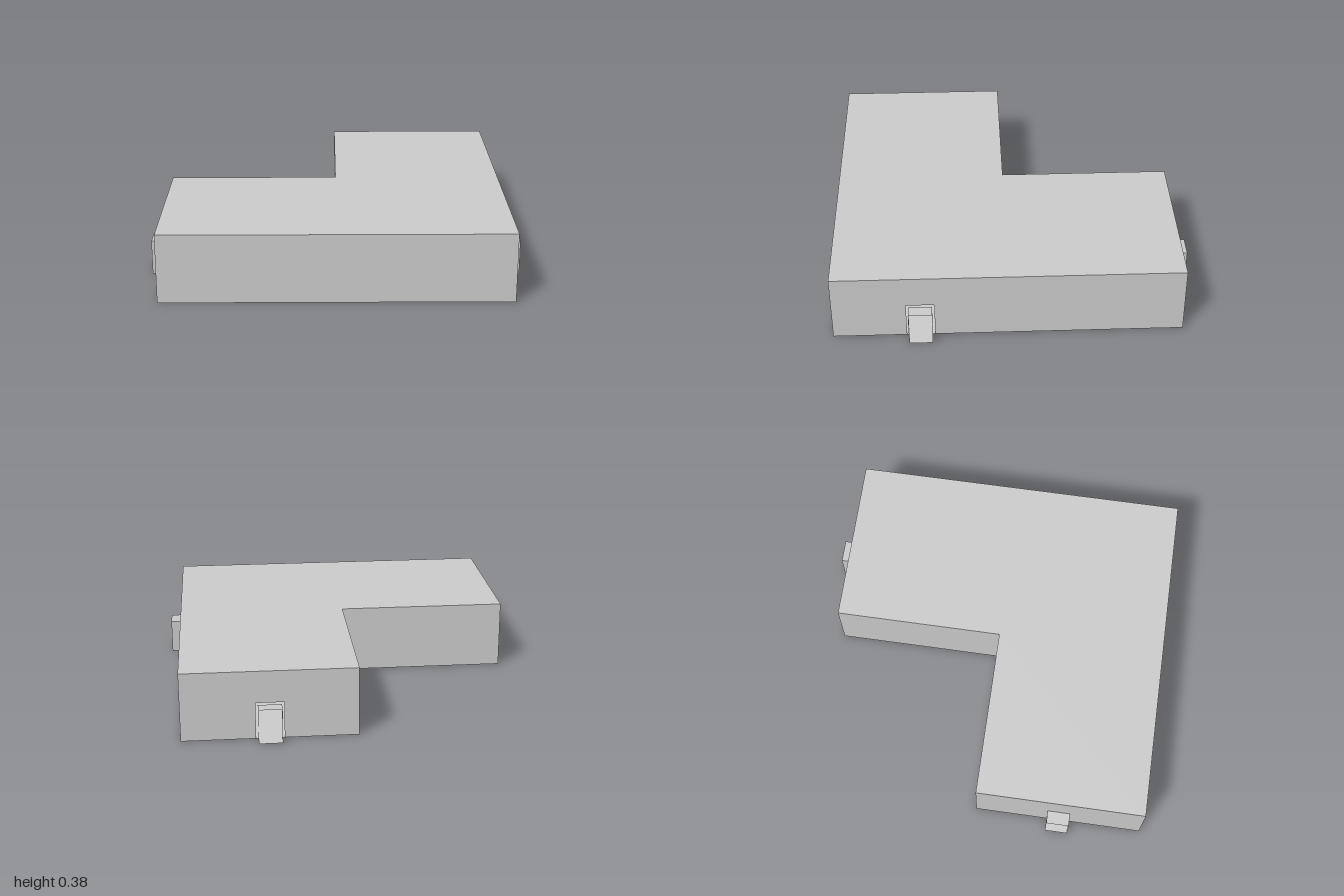
import * as THREE from 'three';

const H = 0.375;               // wall height
const OUT = 0.93;              // half width of the footprint
const BACK = -0.897, MID = 0.034, FRONT = 0.965;
const DOOR_W = 0.125, DOOR_H = 0.188, DEPTH = 0.07;

export function createModel() {
  const group = new THREE.Group();
  const material = new THREE.MeshStandardMaterial({ color: 0xcccccc, side: THREE.DoubleSide, flatShading: true });

  const add = (name, geometry, parent = group) => {
    const mesh = new THREE.Mesh(geometry, material);
    mesh.name = name;
    parent.add(mesh);
    return mesh;
  };

  // L-shaped outline as [x, z], running so that every wall faces outwards
  const outline = [[-OUT, FRONT], [OUT, FRONT], [OUT, BACK], [0, BACK], [0, MID], [-OUT, MID]];

  // Roof and floor
  const plan = new THREE.Shape(outline.map(([x, z]) => new THREE.Vector2(x, -z)));
  add('roof', new THREE.ShapeGeometry(plan).rotateX(-Math.PI / 2).translate(0, H, 0));
  const floorPlan = new THREE.Shape(outline.map(([x, z]) => new THREE.Vector2(x, z)));
  add('floor', new THREE.ShapeGeometry(floorPlan).rotateX(Math.PI / 2));

  // Open square tunnel in front of a doorway, running along +z from the wall
  const addPorch = (parent) => {
    const porch = new THREE.Group();
    porch.name = 'doorPorch';
    parent.add(porch);
    for (const s of [-1, 1]) {
      add('porchSide', new THREE.PlaneGeometry(DEPTH, DOOR_H).rotateY(s * Math.PI / 2)
        .translate(s * DOOR_W / 2, DOOR_H / 2, DEPTH / 2), porch);
      add('porchSlab', new THREE.PlaneGeometry(DOOR_W, DEPTH).rotateX(-s * Math.PI / 2)
        .translate(0, s > 0 ? DOOR_H : 0, DEPTH / 2), porch);
    }
    return porch;
  };

  // Doorway clearance around the porch, by wall index (walls without an entry are closed)
  const doors = { 1: 0.012, 3: null, 2: 0.012, 5: 0 };

  // Walls, each drawn flat and turned into place
  outline.forEach(([x0, z0], i) => {
    const [x1, z1] = outline[(i + 1) % outline.length];
    const length = Math.hypot(x1 - x0, z1 - z0);
    const wall = new THREE.Group();
    wall.name = 'wallSection';
    wall.position.set((x0 + x1) / 2, 0, (z0 + z1) / 2);
    wall.rotation.y = Math.atan2(-(z1 - z0), x1 - x0);
    group.add(wall);

    const points = [[-length / 2, 0]];
    const gap = doors[i];
    if (gap !== undefined && gap !== null) {
      // the doorway sits a quarter-plan in from the outer corner
      const c = i === 1 ? -length / 2 + 0.466 : 0;
      const w = DOOR_W / 2 + gap, h = DOOR_H + gap;
      points.push([c - w, 0], [c - w, h], [c + w, h], [c + w, 0]);
      addPorch(wall).position.x = c;
    }
    points.push([length / 2, 0], [length / 2, H], [-length / 2, H]);
    add('wall', new THREE.ShapeGeometry(new THREE.Shape(points.map((p) => new THREE.Vector2(...p)))), wall);
  });

  return group;
}
